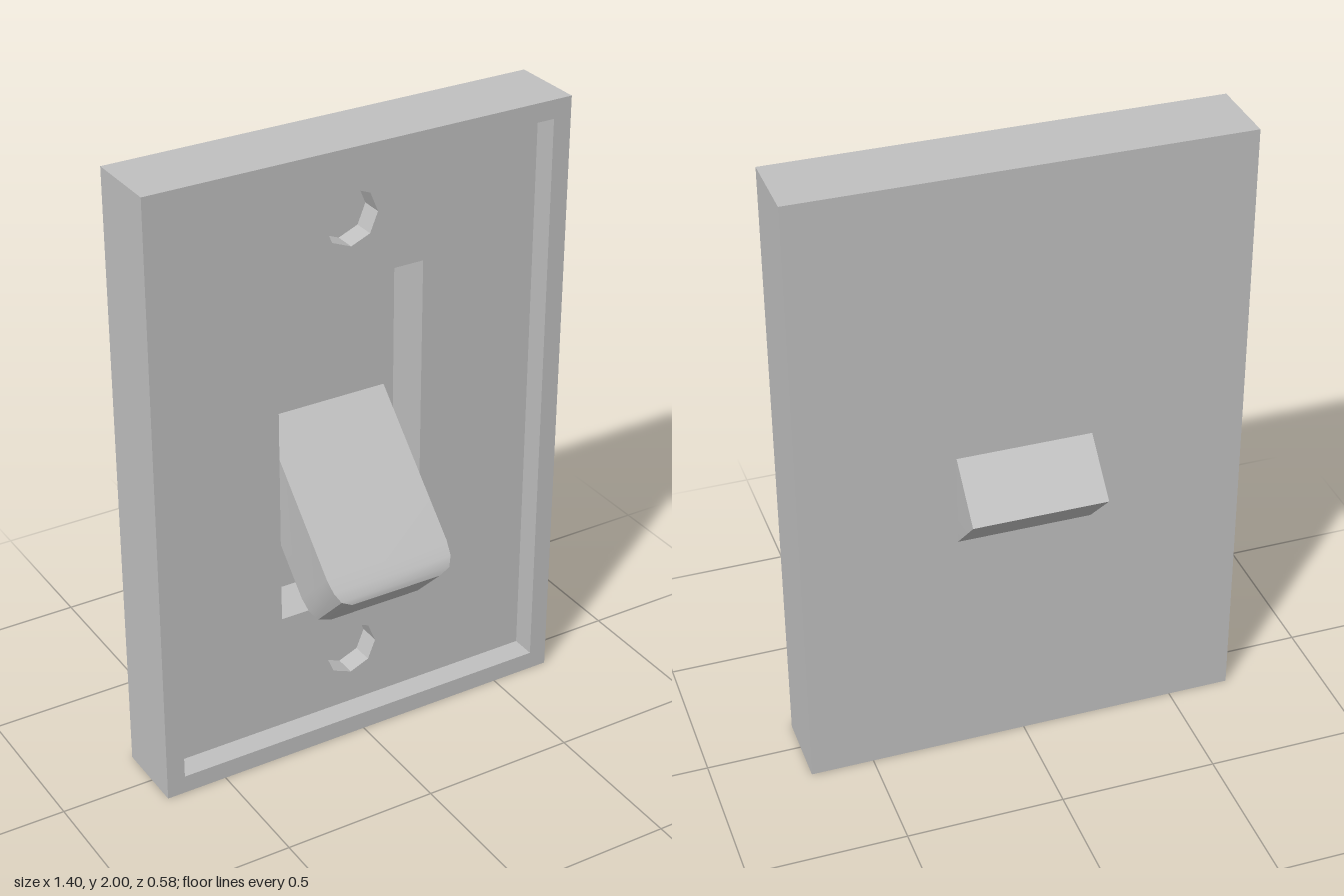
import * as THREE from 'three';
import { toCreasedNormals } from 'three/addons/utils/BufferGeometryUtils.js';

const BACK = -0.136, FRONT = 0.107;

// Closed rectangle as a list of points
function rect(x, y0, y1) {
  return [[-x, y0], [x, y0], [x, y1], [-x, y1]].map(([a, b]) => new THREE.Vector2(a, b));
}

// Octagonal screw hole outline
function octagon(cy, r) {
  return Array.from({ length: 8 }, (_, i) => {
    const a = (i * Math.PI) / 4;
    return new THREE.Vector2(r * Math.cos(a), cy + r * Math.sin(a));
  });
}

// One slab of the plate between two depths, with cut-outs
function slab(name, z0, z1, holes, material) {
  const shape = new THREE.Shape(rect(0.7, 0, 2));
  holes.forEach((h) => shape.holes.push(new THREE.Path(h)));
  const geo = new THREE.ExtrudeGeometry(shape, { depth: z1 - z0, bevelEnabled: false });
  geo.translate(0, 0, z0);
  const mesh = new THREE.Mesh(geo, material);
  mesh.name = name;
  return mesh;
}

// Lever lofted along its axis from rectangular sections [distance, halfWidth, halfThickness]
function leverGeometry() {
  const sections = [
    [0, 0.212, 0.106], [0.531, 0.212, 0.106], [0.577, 0.206, 0.104],
    [0.609, 0.19, 0.098], [0.623, 0.155, 0.086],
  ];
  const pos = [], index = [];
  for (const [d, w, t] of sections) pos.push(-w, -t, d, w, -t, d, w, t, d, -w, t, d);
  for (let s = 0; s < sections.length - 1; s++) {
    for (let i = 0; i < 4; i++) {
      const a = s * 4 + i, b = s * 4 + ((i + 1) % 4);
      index.push(a, b, b + 4, a, b + 4, a + 4);
    }
  }
  const e = (sections.length - 1) * 4;
  index.push(0, 2, 1, 0, 3, 2, e, e + 1, e + 2, e, e + 2, e + 3);
  const geo = new THREE.BufferGeometry();
  geo.setAttribute('position', new THREE.Float32BufferAttribute(pos, 3));
  geo.setIndex(index);
  return toCreasedNormals(geo, 0.72);
}

export function createModel() {
  const group = new THREE.Group();
  group.name = 'lightSwitch';
  const grey = new THREE.MeshStandardMaterial({ color: 0xc0c0c0 });
  grey.name = 'grey';

  // Wall plate: thin back, slot layer, slot and screw hole layer, raised rim
  const slot = rect(0.247, 0.455, 1.55);
  const screws = [octagon(0.26, 0.09), octagon(1.745, 0.09)];
  const plate = new THREE.Group();
  plate.name = 'wallPlate';
  plate.add(
    slab('plateBack', BACK, BACK + 0.005, [], grey),
    slab('slotLayer', BACK + 0.005, -0.043, [slot], grey),
    slab('plateFace', -0.043, 0.027, [slot, ...screws], grey),
    slab('plateRim', 0.027, FRONT, [rect(0.64, 0.06, 1.94)], grey),
  );
  group.add(plate);

  // Toggle lever, tilted down through the plate
  const lever = new THREE.Mesh(leverGeometry(), grey);
  lever.name = 'toggleLever';
  lever.position.set(0, 1.005, -0.211);
  lever.rotation.x = Math.PI / 4;
  group.add(lever);

  return group;
}
